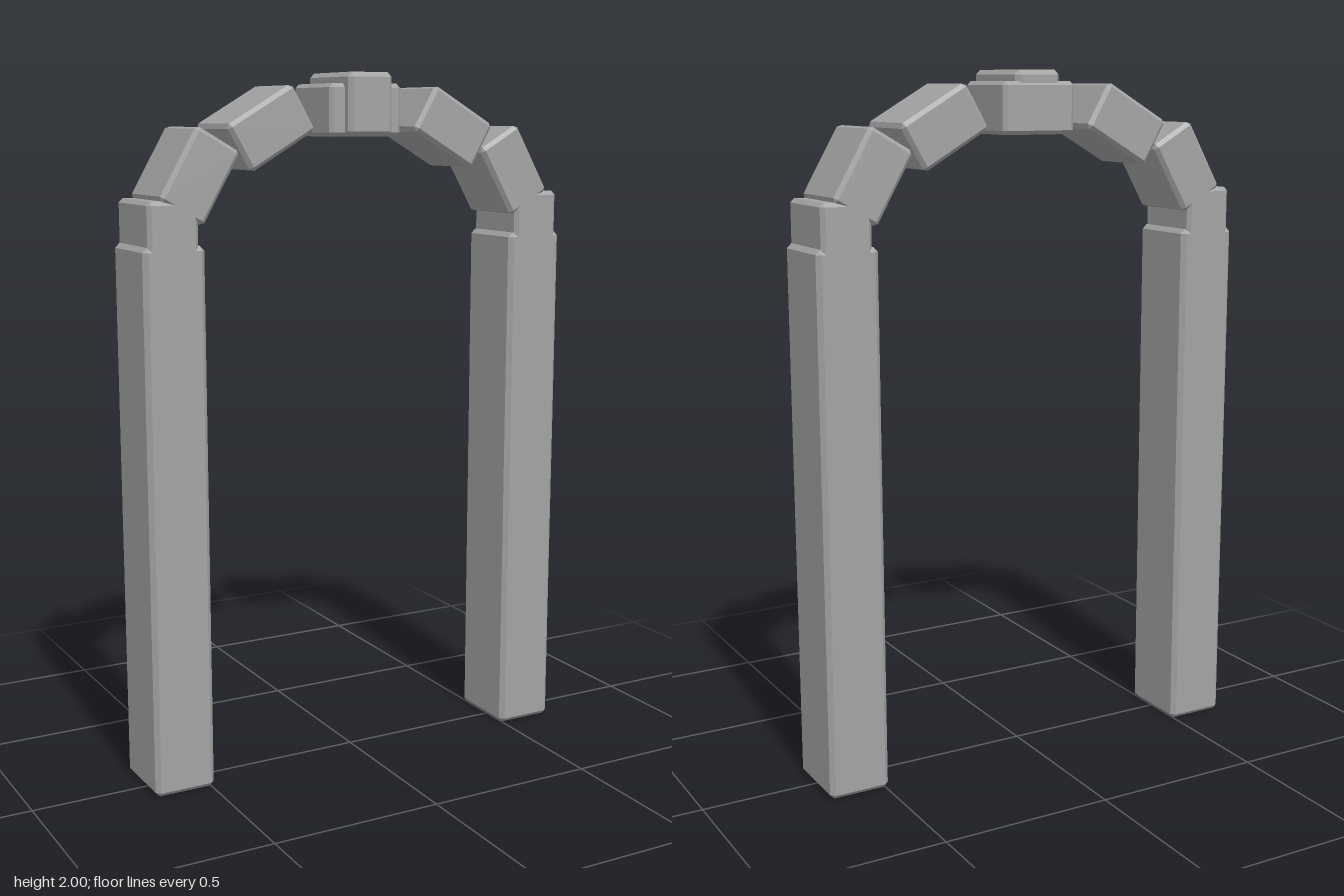
import * as THREE from 'three';
import { ConvexGeometry } from 'three/addons/geometries/ConvexGeometry.js';

const stone = new THREE.MeshStandardMaterial({ color: 0xa3a3a3 });
stone.name = 'greyStone';

// Box with flat chamfers on every edge, centred on the origin
function chamferedBox(w, h, d, c) {
  const points = [];
  for (const x of [-1, 1]) for (const y of [-1, 1]) for (const z of [-1, 1]) {
    for (let axis = 0; axis < 3; axis++) {
      const inset = [c, c, c];
      inset[axis] = 0;
      points.push(new THREE.Vector3(
        x * (w / 2 - inset[0]), y * (h / 2 - inset[1]), z * (d / 2 - inset[2])));
    }
  }
  return new ConvexGeometry(points);
}

export function createModel() {
  const group = new THREE.Group();
  group.name = 'stoneArch';
  const depth = 0.226, zMid = -0.017;

  const add = (name, geometry, x, y, z, angle = 0) => {
    const mesh = new THREE.Mesh(geometry, stone);
    mesh.name = name;
    mesh.position.set(x, y, z);
    mesh.rotation.z = angle;
    group.add(mesh);
  };

  const pillar = chamferedBox(0.178, 1.54, depth, 0.013);
  const block = chamferedBox(0.225, 0.145, depth, 0.011);

  // Pillars and the arch blocks that climb from them, mirrored
  for (const [side, s] of [['left', 1], ['right', -1]]) {
    add(side + 'Pillar', pillar, s * 0.58, 0.77, zMid);
    add(side + 'SpringerBlock', block, s * 0.582, 1.548, zMid, Math.PI / 2);
    add(side + 'LowerArchBlock', block, s * 0.502, 1.724, zMid, -s * Math.PI / 3);
    add(side + 'UpperArchBlock', block, s * 0.29, 1.849, zMid, -s * Math.PI / 6);
  }

  // Crown block with the taller keystone projecting at the front
  add('crownBlock', block, 0, 1.897, zMid);
  add('keystone', chamferedBox(0.138, 0.174, 0.252, 0.013), 0, 1.913, 0.001);
  return group;
}
